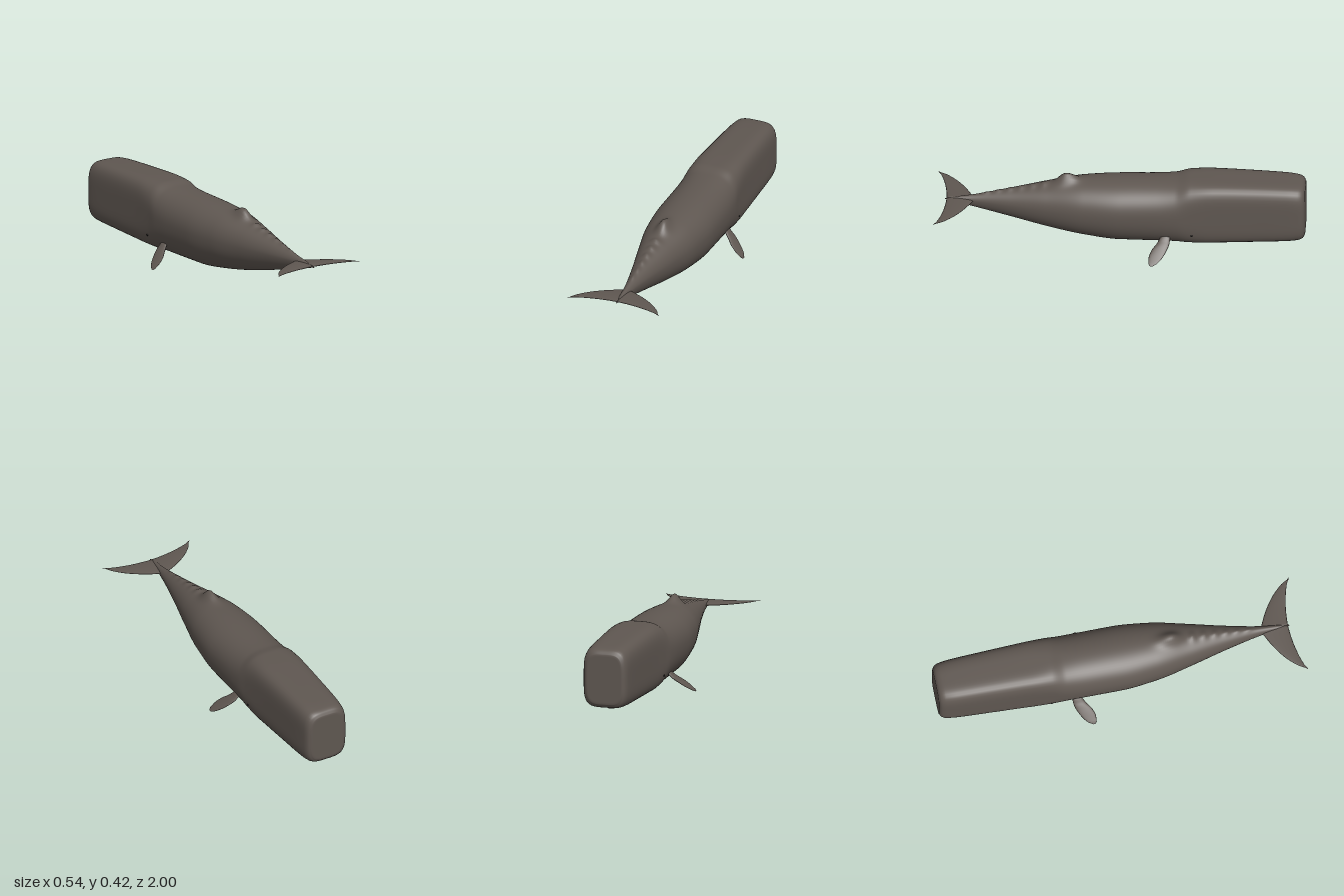
import * as THREE from 'three';

const skin = new THREE.MeshStandardMaterial({ color: 0x5f5751 });
skin.name = 'greySkin';
const dark = new THREE.MeshStandardMaterial({ color: 0x1c1918 });
dark.name = 'darkEye';

// Skin a list of closed rings, with a fan closing each end
function loft(rings, flip = false) {
  const n = rings[0].length;
  const pos = rings.flat().flatMap((p) => [p.x, p.y, p.z]);
  const idx = [];
  const tri = (a, b, c) => (flip ? idx.push(a, c, b) : idx.push(a, b, c));
  for (let i = 0; i < rings.length - 1; i++) {
    for (let j = 0; j < n; j++) {
      const k = (j + 1) % n, a = i * n, b = a + n;
      tri(a + j, a + k, b + j);
      tri(a + k, b + k, b + j);
    }
  }
  [0, rings.length - 1].forEach((r, end) => {
    const c = new THREE.Vector3();
    rings[r].forEach((p) => c.addScaledVector(p, 1 / n));
    const ci = pos.length / 3;
    pos.push(c.x, c.y, c.z);
    for (let j = 0; j < n; j++) {
      const k = (j + 1) % n;
      if (end) tri(ci, r * n + j, r * n + k);
      else tri(ci, r * n + k, r * n + j);
    }
  });
  const g = new THREE.BufferGeometry();
  g.setAttribute('position', new THREE.Float32BufferAttribute(pos, 3));
  g.setIndex(idx);
  g.computeVertexNormals();
  return g;
}

// Superellipse ring with separate upper and lower heights
function section(z, top, bottom, half, power, mid, count) {
  return Array.from({ length: count }, (_, j) => {
    const a = (j / count) * Math.PI * 2, c = Math.cos(a), s = Math.sin(a);
    const r = (Math.abs(c) ** power + Math.abs(s) ** power) ** (-1 / power);
    return new THREE.Vector3(half * c * r, mid + (s > 0 ? top - mid : mid - bottom) * s * r, z);
  });
}

// Smooth interpolation of a table by its first column (limited slopes avoid overshoot)
function sample(table, z) {
  let i = 0;
  while (i < table.length - 2 && z > table[i + 1][0]) i++;
  const slope = (k, c) => {
    if (k <= 0 || k >= table.length - 1) return 0;
    const [p, q, r] = [table[k - 1], table[k], table[k + 1]];
    const d0 = (q[c] - p[c]) / (q[0] - p[0]), d1 = (r[c] - q[c]) / (r[0] - q[0]);
    return d0 * d1 <= 0 ? 0 : (2 * d0 * d1) / (d0 + d1);
  };
  const a = table[i], b = table[i + 1], h = b[0] - a[0], t = (z - a[0]) / h;
  return a.map((v, c) => {
    if (c === 0) return z;
    const t2 = t * t, t3 = t2 * t;
    return v * (2 * t3 - 3 * t2 + 1) + b[c] * (3 * t2 - 2 * t3)
      + h * (slope(i, c) * (t3 - 2 * t2 + t) + slope(i + 1, c) * (t3 - t2));
  });
}

// z, top, bottom, half width, squareness
const BODY = [
  [-1.0, 0.375, 0.1, 0.1, 4], [-0.99, 0.392, 0.084, 0.115, 4], [-0.965, 0.403, 0.075, 0.125, 4.2],
  [-0.9, 0.409, 0.07, 0.131, 4.5], [-0.7, 0.415, 0.062, 0.139, 4.6], [-0.5, 0.418, 0.053, 0.148, 4.4],
  [-0.38, 0.417, 0.045, 0.157, 3.4], [-0.3, 0.403, 0.039, 0.166, 2.5], [-0.2, 0.397, 0.035, 0.17, 2.25],
  [0, 0.391, 0.034, 0.172, 2.15], [0.2, 0.379, 0.055, 0.154, 2.1], [0.4, 0.345, 0.09, 0.111, 2],
  [0.6, 0.303, 0.137, 0.063, 1.85], [0.8, 0.26, 0.188, 0.023, 1.75], [0.9, 0.243, 0.214, 0.011, 1.75],
  [0.95, 0.233, 0.227, 0.003, 2],
];

// Dorsal hump followed by shrinking knuckles
function ridge(x, z) {
  const bell = (d, w) => Math.exp(-((d / w) ** 2));
  let y = 0.05 * bell(z - 0.3, z < 0.3 ? 0.065 : 0.05) * bell(x, 0.034);
  for (let k = 0; k < 6; k++) y += (0.013 - k * 0.0015) * bell(z - 0.415 - k * 0.062, 0.019) * bell(x, 0.026 - k * 0.003);
  return y;
}

function bodyGeometry() {
  const zs = [-1, -0.997, -0.993, -0.988, -0.98, -0.97, -0.96];
  for (let i = 1; i <= 170; i++) zs.push(-0.96 + (1.91 * i) / 170);
  const rings = zs.map((z) => {
    const [, top, bottom, half, power] = sample(BODY, z);
    const ring = section(z, top, bottom, half, power, 0.232, 72);
    ring.forEach((p) => { if (p.y > 0.232) p.y += ridge(p.x, z) * Math.min(1, (p.y - 0.232) / 0.02); });
    return ring;
  });
  // Flat blunt snout
  const inset = (s) => rings[0].map((p) => new THREE.Vector3(p.x * s, 0.238 + (p.y - 0.238) * s, -1));
  return loft([inset(0.3), inset(0.92), ...rings]);
}

// Lens-sectioned fin: stations of [x, y, leading z, trailing z, half thickness]
function fin(stations, up, side) {
  const rings = [];
  for (let i = 0; i <= 28; i++) {
    const x0 = stations[0][0], x1 = stations[stations.length - 1][0];
    const [x, y, lead, trail, thick] = sample(stations, x0 + ((x1 - x0) * i) / 28);
    rings.push(Array.from({ length: 20 }, (_, j) => {
      const a = (j / 20) * Math.PI * 2, t = thick * Math.sin(a);
      return new THREE.Vector3(side * (x + up[0] * t), y + up[1] * t,
        (lead + trail) / 2 + ((lead - trail) / 2) * Math.cos(a));
    }));
  }
  return loft(rings, side < 0);
}

const FLUKE = [
  [0, 0.232, 0.79, 0.943, 0.009], [0.03, 0.232, 0.803, 0.944, 0.008], [0.1, 0.232, 0.838, 0.951, 0.006],
  [0.18, 0.232, 0.893, 0.967, 0.004], [0.24, 0.232, 0.955, 0.986, 0.002], [0.268, 0.232, 0.998, 1.0, 0.0005],
];
const FLIPPER = [
  [0.13, 0.116, -0.275, -0.225, 0.009], [0.165, 0.088, -0.272, -0.205, 0.009], [0.2, 0.059, -0.257, -0.175, 0.007],
  [0.235, 0.03, -0.232, -0.162, 0.004], [0.258, 0.011, -0.206, -0.163, 0.002], [0.268, 0.003, -0.186, -0.172, 0.0006],
];
// z, top, bottom, half width
const JAW = [
  [-0.91, 0.085, 0.068, 0.008], [-0.89, 0.09, 0.052, 0.018], [-0.85, 0.09, 0.044, 0.022], [-0.65, 0.085, 0.03, 0.024],
  [-0.46, 0.08, 0.014, 0.028], [-0.43, 0.08, 0.014, 0.027], [-0.4, 0.075, 0.024, 0.022], [-0.36, 0.07, 0.05, 0.01],
];

export function createModel() {
  const whale = new THREE.Group();
  whale.name = 'whale';
  const add = (name, geometry, material = skin) => {
    const m = new THREE.Mesh(geometry, material);
    m.name = name;
    whale.add(m);
    return m;
  };

  add('body', bodyGeometry());

  // Narrow lower jaw
  const jawRings = [];
  for (let i = 0; i <= 48; i++) {
    const [z, top, bottom, half] = sample(JAW, -0.91 + (0.55 * i) / 48);
    jawRings.push(section(z, top, bottom, half, 3, (top + bottom) / 2, 32));
  }
  add('lowerJaw', loft(jawRings));

  // Paired parts
  for (const side of [1, -1]) {
    const label = side > 0 ? 'left' : 'right';
    add(label + 'Fluke', fin(FLUKE, [0, 1], side));
    add(label + 'Flipper', fin(FLIPPER, [0.63, 0.77], side));
    const eye = add(label + 'Eye', new THREE.SphereGeometry(0.005, 12, 8), dark);
    eye.position.set(side * 0.151, 0.13, -0.39);
  }
  return whale;
}
